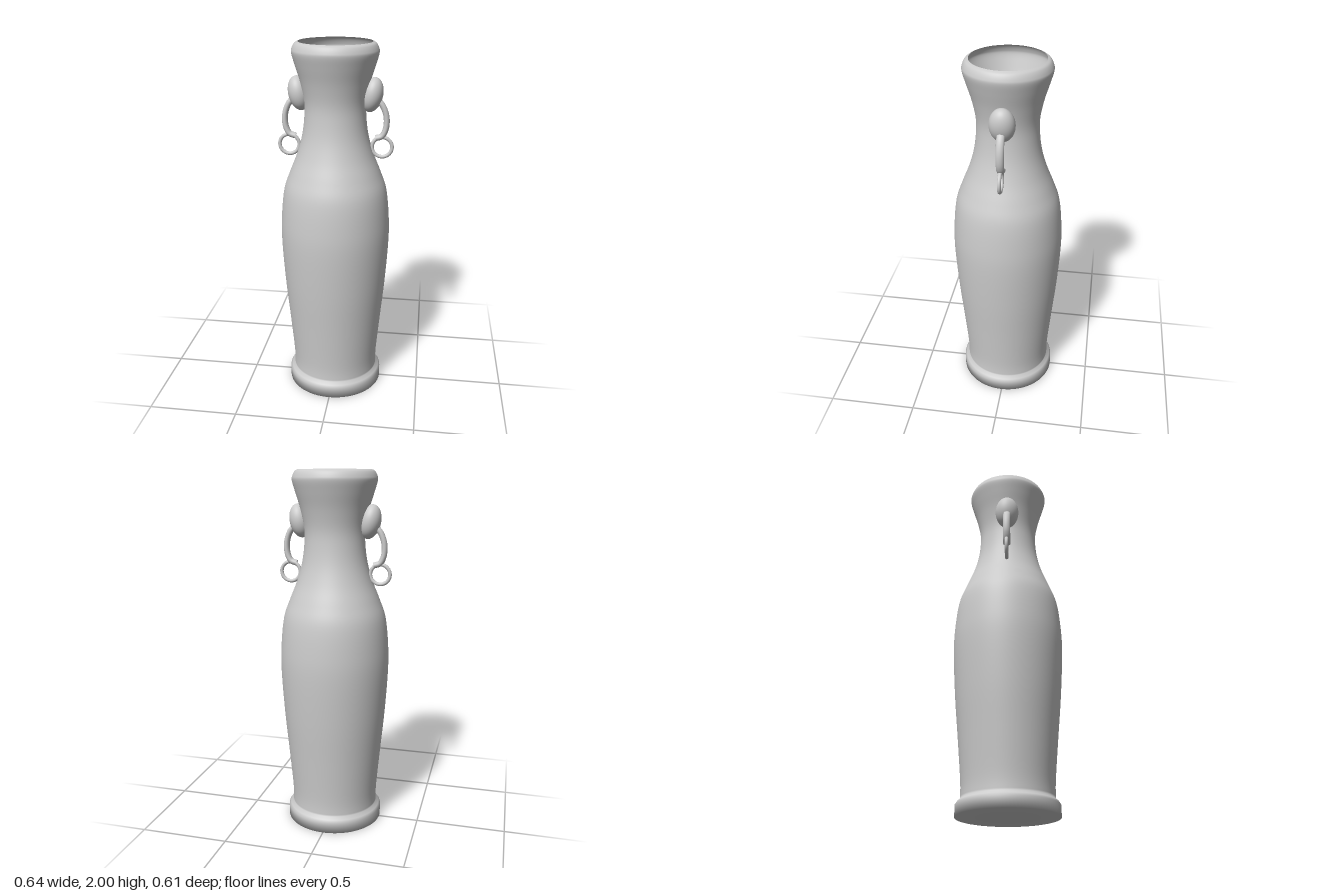
import * as THREE from 'three';

const material = new THREE.MeshStandardMaterial({ color: 0xcccccc, side: THREE.DoubleSide });

function addMesh(parent, name, geometry) {
  const mesh = new THREE.Mesh(geometry, material);
  mesh.name = name;
  parent.add(mesh);
  return mesh;
}

const vec2 = ([x, y]) => new THREE.Vector2(x, y);

// Thin-walled vase: flat floor, foot band, swelling body, narrow neck, rolled lip
function vaseGeometry() {
  const foot = [[0, 0], [0.272, 0], [0.272, 0.06], [0.262, 0.075]].map(vec2);
  const wall = new THREE.SplineCurve([
    [0.246, 0.09], [0.247, 0.18], [0.266, 0.4], [0.289, 0.65], [0.304, 0.9],
    [0.301, 1.05], [0.284, 1.2], [0.25, 1.3], [0.21, 1.4], [0.181, 1.5],
    [0.167, 1.6], [0.166, 1.69], [0.185, 1.79], [0.212, 1.88], [0.229, 1.94],
    [0.227, 1.965], [0.214, 1.99], [0.196, 2.0],
  ].map(vec2)).getPoints(85);
  return new THREE.LatheGeometry([...foot, ...wall], 96);
}

// Handle: oval boss on the neck, curved arm below it, loose ring at the end
function createHandle(name) {
  const handle = new THREE.Group();
  handle.name = name;

  const boss = addMesh(handle, 'handleBoss', new THREE.SphereGeometry(1, 40, 28));
  boss.scale.set(0.057, 0.093, 0.067);
  boss.position.set(0.196, 1.728, 0);
  boss.rotation.z = -0.21;

  const path = new THREE.CatmullRomCurve3([
    [0.215, 1.71], [0.25, 1.675], [0.27, 1.63], [0.276, 1.585],
    [0.27, 1.54], [0.252, 1.507], [0.22, 1.495],
  ].map(([x, y]) => new THREE.Vector3(x, y, 0)));
  const arm = addMesh(handle, 'handleArm', new THREE.TubeGeometry(path, 40, 0.016, 16));
  arm.scale.z = 1.3;

  const ring = addMesh(handle, 'handleRing', new THREE.TorusGeometry(0.054, 0.01, 14, 48));
  ring.position.set(0.254, 1.447, 0);
  return handle;
}

export function createModel() {
  const model = new THREE.Group();
  model.name = 'vase';
  addMesh(model, 'vaseBody', vaseGeometry());

  // The handle is symmetric in z, so a half turn mirrors it
  const left = createHandle('leftHandle');
  const right = createHandle('rightHandle');
  right.rotation.y = Math.PI;
  model.add(left, right);
  return model;
}
